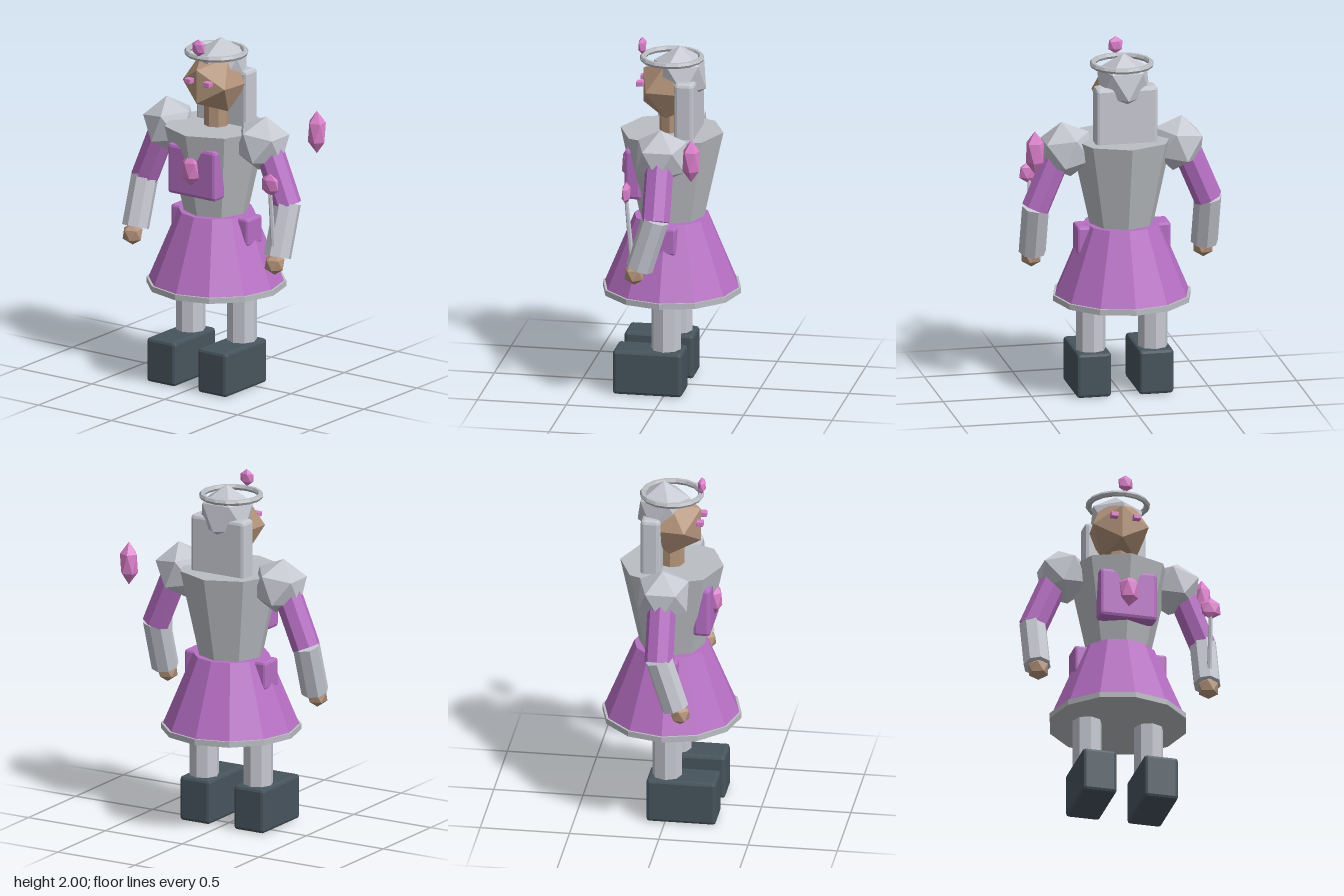
import * as THREE from 'three';
import { RoundedBoxGeometry } from 'three/addons/geometries/RoundedBoxGeometry.js';

const mat = (name, color) => {
  const m = new THREE.MeshStandardMaterial({ color, flatShading: true });
  m.name = name;
  return m;
};

export function createModel() {
  const purple = mat('purple cloth', 0xb76fc4);
  const silver = mat('silver armour', 0xc6c8d1);
  const steel = mat('steel bodice', 0xbabdc2);
  const skin = mat('skin', 0xb4947b);
  const boot = mat('dark boots', 0x47545d);
  const pink = mat('pink crystal', 0xdc80cb);

  const model = new THREE.Group();
  model.name = 'figure';
  const body = new THREE.Group();
  body.name = 'body';
  body.position.x = -0.011;
  model.add(body);

  const add = (name, geo, material, x, y, z) => {
    const mesh = new THREE.Mesh(geo, material);
    mesh.name = name;
    mesh.position.set(x, y, z);
    body.add(mesh);
    return mesh;
  };
  const cyl = (name, top, bottom, y0, y1, sides, material, x = 0, z = 0) =>
    add(name, new THREE.CylinderGeometry(top, bottom, y1 - y0, sides), material, x, (y0 + y1) / 2, z);
  const box = (name, w, h, d, bevel, material, x, y, z) =>
    add(name, new RoundedBoxGeometry(w, h, d, 1, bevel), material, x, y, z);
  // Cylinder running between two points
  const limb = (name, a, b, rTop, rBottom, sides, material) => {
    const p = new THREE.Vector3(...a), q = new THREE.Vector3(...b);
    const dir = p.clone().sub(q);
    const mid = p.clone().add(q).multiplyScalar(0.5);
    const mesh = add(name, new THREE.CylinderGeometry(rTop, rBottom, dir.length(), sides), material, mid.x, mid.y, mid.z);
    mesh.quaternion.setFromUnitVectors(new THREE.Vector3(0, 1, 0), dir.normalize());
    return mesh;
  };
  // Icosahedron with a vertex at top and bottom, stretched into a crystal
  const crystal = (name, x, y, z, rx, ry, rz, material = pink) => {
    const geo = new THREE.IcosahedronGeometry(1, 0);
    geo.rotateZ(0.5536);
    geo.scale(rx, ry, rz);
    return add(name, geo, material, x, y, z);
  };

  // Bodice, skirt and hem
  cyl('bodice', 0.29, 0.18, 0.97, 1.47, 8, steel);
  cyl('skirt', 0.21, 0.38, 0.57, 0.98, 12, purple);
  cyl('skirtHem', 0.39, 0.39, 0.545, 0.577, 12, steel);
  box('hips', 0.53, 0.16, 0.14, 0.015, purple, 0, 0.898, 0);

  // Chest panel and its gem
  box('chestPanel', 0.33, 0.29, 0.1, 0.02, purple, 0, 1.245, 0.189);
  crystal('chestGem', 0, 1.265, 0.24, 0.06, 0.097, 0.046);

  // Head, neck, hair
  cyl('neck', 0.07, 0.07, 1.45, 1.62, 8, skin);
  const head = add('head', new THREE.IcosahedronGeometry(0.183, 0), skin, 0, 1.72, 0.01);
  head.rotation.y = -0.1;
  const hair = add('hairCap', new THREE.IcosahedronGeometry(0.165, 0), silver, 0, 1.797, -0.045);
  hair.rotation.x = -1.02;
  box('longHair', 0.35, 0.5, 0.11, 0.02, silver, 0, 1.54, -0.097);

  // Halo with the floating crystals
  const halo = add('halo', new THREE.TorusGeometry(0.163, 0.017, 6, 16), steel, 0, 1.89, 0);
  halo.rotation.x = Math.PI / 2;
  crystal('haloCrystal', 0, 1.95, 0.167, 0.046, 0.05, 0.025);
  crystal('floatingCrystal', 0.536, 1.468, -0.21, 0.057, 0.123, 0.054);

  // Paired parts
  for (const s of [-1, 1]) {
    box('eye', 0.042, 0.028, 0.04, 0.003, pink, s * 0.064, 1.75, 0.167);
    const shoulder = add('shoulder', new THREE.IcosahedronGeometry(0.16, 0), silver, s * 0.315, 1.415, 0);
    shoulder.rotation.z = s * 0.39;
    limb('upperArm', [s * 0.367, 1.376, 0], [s * 0.489, 1.085, 0], 0.08, 0.08, 8, purple);
    limb('forearm', [s * 0.487, 1.1, 0], [s * 0.487, 0.812, 0.092], 0.077, 0.077, 8, silver);
    crystal('hand', s * 0.487, 0.777, 0.12, 0.063, 0.063, 0.06, skin);
    cyl('leg', 0.083, 0.083, 0.2, 0.57, 8, silver, s * 0.176);
    box('boot', 0.195, 0.255, 0.39, 0.018, boot, s * 0.176, 0.1275, 0.09);
  }

  // Wand in the left hand
  limb('wandRod', [0.489, 1.22, 0.165], [0.489, 0.8, 0.128], 0.011, 0.015, 6, silver);
  crystal('wandCrystal', 0.489, 1.245, 0.165, 0.063, 0.065, 0.026);

  return model;
}
